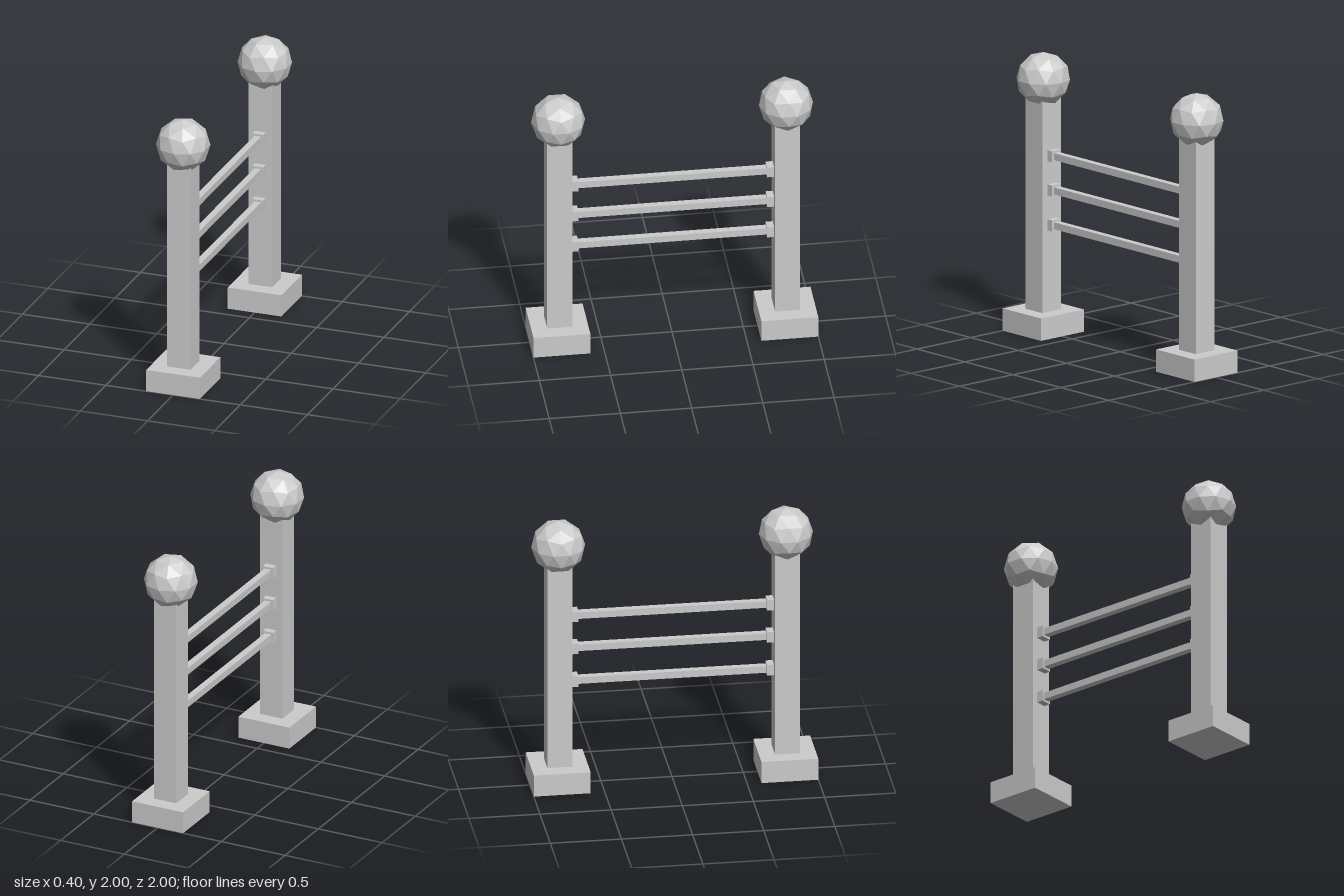
import * as THREE from 'three';

export function createModel() {
  const model = new THREE.Group();
  const material = new THREE.MeshStandardMaterial({ color: 0xcccccc, flatShading: true });

  const add = (parent, name, geometry, x, y, z) => {
    const mesh = new THREE.Mesh(geometry, material);
    mesh.name = name;
    mesh.position.set(x, y, z);
    parent.add(mesh);
    return mesh;
  };

  const railHeights = [0.785, 1.035, 1.28];
  const postZ = 0.8, postWidth = 0.176;
  const innerFace = postZ - postWidth / 2;

  // Faceted ball with one corner turned to the top
  const ballGeometry = new THREE.IcosahedronGeometry(0.19, 1);
  ballGeometry.rotateZ(Math.atan(2 / (1 + Math.sqrt(5))));

  // Two identical posts, the back one turned half a circle
  for (const [name, turn] of [['frontPost', Math.PI], ['backPost', 0]]) {
    const post = new THREE.Group();
    post.name = name;
    post.rotation.y = turn;
    add(post, 'base', new THREE.BoxGeometry(0.4, 0.16, 0.4), 0, 0.08, -postZ);
    add(post, 'shaft', new THREE.BoxGeometry(postWidth, 1.56, postWidth), 0, 0.94, -postZ);
    add(post, 'ballFinial', ballGeometry, 0, 1.81, -postZ);
    // Square sockets holding the rail ends
    for (const y of railHeights)
      add(post, 'railSocket', new THREE.BoxGeometry(0.08, 0.08, 0.05), 0, y, -innerFace + 0.025);
    model.add(post);
  }

  // Rails between the posts
  for (const y of railHeights)
    add(model, 'rail', new THREE.BoxGeometry(0.05, 0.05, innerFace * 2), 0, y, 0);

  return model;
}
